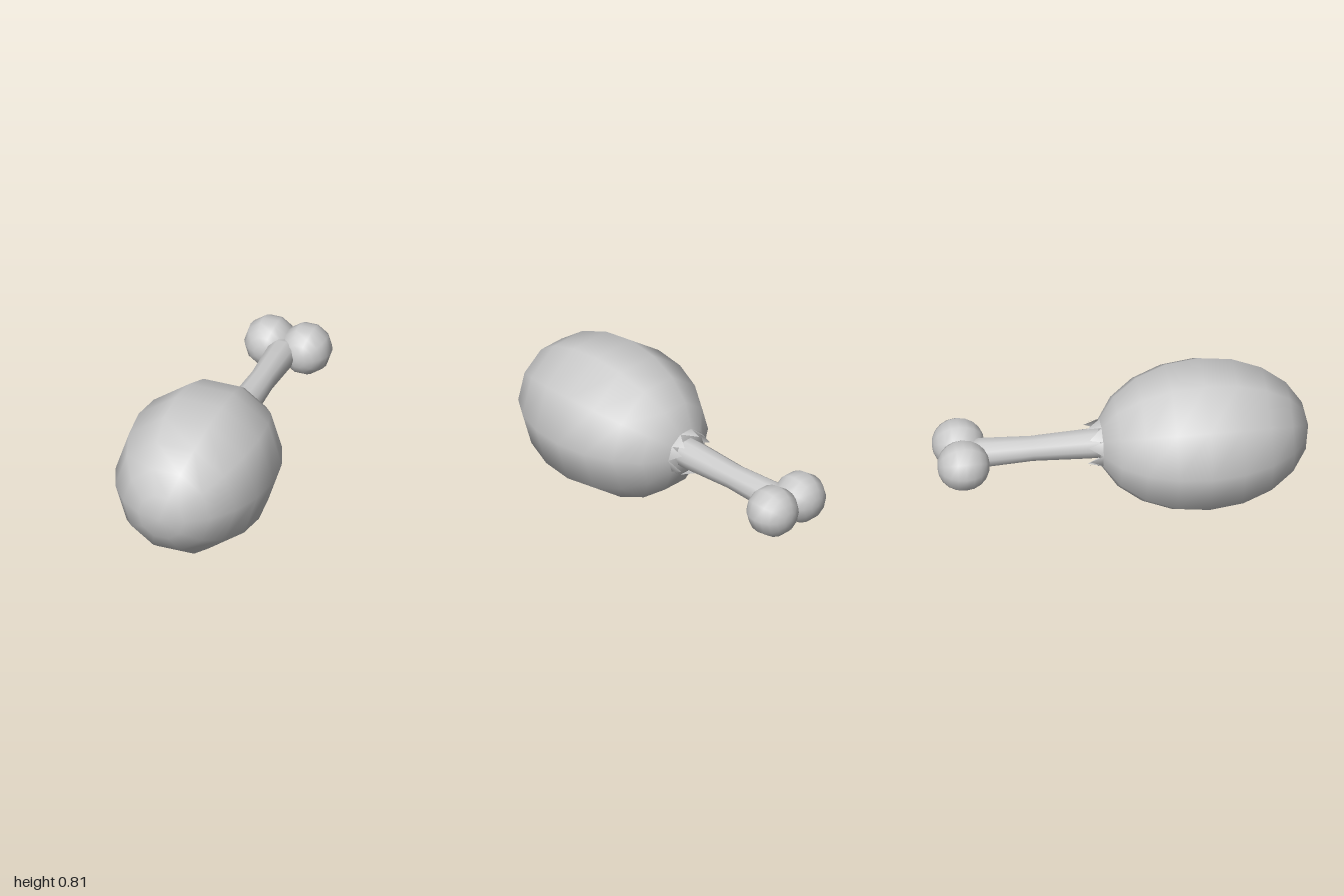
import * as THREE from 'three';

const SIDES = 10;
const AXIS_Y = 0.404;

export function createModel() {
  const model = new THREE.Group();
  const grey = new THREE.MeshStandardMaterial({ color: 0xcccccc });
  const thin = new THREE.MeshStandardMaterial({ color: 0xcccccc, side: THREE.DoubleSide });

  function add(name, geometry, x, z, material = grey) {
    const mesh = new THREE.Mesh(geometry, material);
    mesh.name = name;
    mesh.position.set(x, AXIS_Y, z);
    model.add(mesh);
    return mesh;
  }

  // Sphere with its poles on the z axis
  const ball = (r) => new THREE.SphereGeometry(r, SIDES, SIDES).rotateX(Math.PI / 2);

  // Meat: a long ellipsoid
  add('meat', ball(0.424).scale(1, 1, 0.57 / 0.424), 0, 0.43);

  // Ragged edge: a ring of teeth where the meat meets the bone
  const tipAngles = [25, 47, 103, 137, 157];
  const points = [];
  const faces = [];
  const polar = (degrees, r, z) => {
    const a = THREE.MathUtils.degToRad(degrees);
    points.push(r * Math.cos(a), r * Math.sin(a), z);
  };
  for (let i = 0; i < SIDES; i++) {
    polar(i * 36, 0.131, -0.112);
    const angle = i < 5 ? tipAngles[i] : 360 - tipAngles[9 - i];
    polar(angle, 0.116, i % 2 ? -0.182 : -0.188);
    faces.push(2 * i, 2 * ((i + 1) % SIDES), 2 * i + 1);
  }
  // Corners run front ring, next ring point, tip: flipped so they face outward
  for (let i = 0; i < faces.length; i += 3) [faces[i], faces[i + 1]] = [faces[i + 1], faces[i]];
  const teeth = new THREE.BufferGeometry();
  teeth.setAttribute('position', new THREE.Float32BufferAttribute(points, 3));
  teeth.setIndex(faces);
  teeth.computeVertexNormals();
  add('raggedEdge', teeth, 0, 0, thin);

  // Bone shaft: slightly waisted, running back along -z
  const profile = [[0.083, 0], [0.083, 0.18], [0.07, 0.48], [0.083, 0.76], [0.06, 0.84], [0, 0.86]]
    .map(([r, d]) => new THREE.Vector2(r, d));
  add('boneShaft', new THREE.LatheGeometry(profile, SIDES, Math.PI / 2).rotateX(-Math.PI / 2), 0, 0);

  // Two knobs at the end of the bone
  for (const [name, side] of [['leftKnob', 1], ['rightKnob', -1]]) {
    add(name, ball(0.14), side * 0.102, -0.86);
  }
  return model;
}
